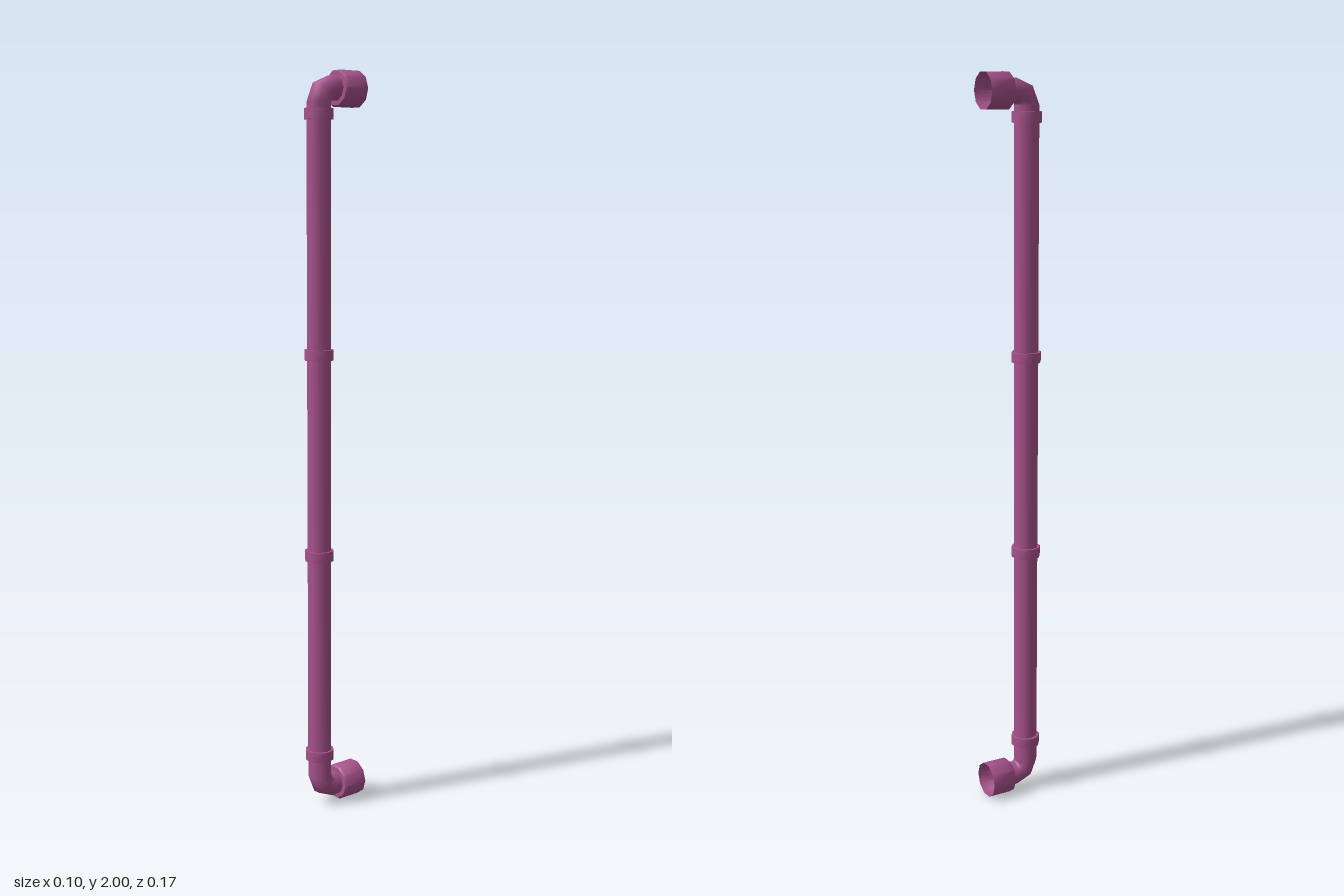
import * as THREE from 'three';
import { toCreasedNormals } from 'three/addons/utils/BufferGeometryUtils.js';

const SIDES = 10;
const PIPE_R = 0.033;
const PIPE_Z = 0.042;            // axis of the vertical pipe
const LOW = 0.047, HIGH = 1.953; // axes of the two sockets
const BEND = 0.037;

// Sweeps a round section along stations { y, z, a }, a = direction angle from +z towards +y
function sweepPipe(stations, radius) {
  const pos = [], index = [];
  for (const { y, z, a } of stations) {
    for (let j = 0; j < SIDES; j++) {
      const t = (j / SIDES) * Math.PI * 2;
      const n = radius * Math.sin(t);
      pos.push(radius * Math.cos(t), y + n * Math.cos(a), z - n * Math.sin(a));
    }
  }
  for (let i = 0; i < stations.length - 1; i++) {
    for (let j = 0; j < SIDES; j++) {
      const k = (j + 1) % SIDES;
      const a = i * SIDES + j, b = i * SIDES + k;
      index.push(a, b, a + SIDES, b, b + SIDES, a + SIDES);
    }
  }
  const g = new THREE.BufferGeometry();
  g.setAttribute('position', new THREE.Float32BufferAttribute(pos, 3));
  g.setIndex(index);
  g.computeVertexNormals();
  return g;
}

export function createModel() {
  const group = new THREE.Group();
  group.name = 'drainPipe';
  const material = new THREE.MeshStandardMaterial({ color: 0xa8528c, side: THREE.DoubleSide });
  const add = (name, geometry, y, z) => {
    const mesh = new THREE.Mesh(geometry, material);
    mesh.name = name;
    mesh.position.set(0, y, z);
    group.add(mesh);
    return mesh;
  };

  // Pipe: lower neck and elbow, long straight run, upper elbow and neck
  const bendZ = PIPE_Z - BEND;
  const stations = [{ y: LOW, z: -0.015, a: 0 }];
  for (let i = 0; i <= 2; i++) {
    const a = (i / 2) * Math.PI / 2;
    stations.push({ y: LOW + BEND - BEND * Math.cos(a), z: bendZ + BEND * Math.sin(a), a });
  }
  for (let i = 0; i <= 2; i++) {
    const b = (i / 2) * Math.PI / 2;
    stations.push({ y: HIGH - BEND + BEND * Math.sin(b), z: bendZ + BEND * Math.cos(b), a: Math.PI / 2 + b });
  }
  stations.push({ y: HIGH, z: -0.015, a: Math.PI });
  add('pipe', sweepPipe(stations, PIPE_R), 0, 0);

  // Collars around the straight run
  const collar = toCreasedNormals(
    new THREE.CylinderGeometry(0.04, 0.04, 0.028, SIDES, 1, false, Math.PI / 2), 0.9);
  for (const y of [0.146, 0.713, 1.26, 1.886]) add('collar', collar, y, PIPE_Z);

  // Open sockets facing the back, with a small bevel at the shoulder
  const profile = [[0.049, -0.085], [0.049, -0.019], [0.045, -0.014], [PIPE_R, -0.014]]
    .map(([r, z]) => new THREE.Vector2(r, z));
  const socket = toCreasedNormals(new THREE.LatheGeometry(profile, SIDES, Math.PI / 2), 0.7);
  for (const [name, y] of [['lowerSocket', LOW], ['upperSocket', HIGH]]) {
    add(name, socket, y, 0).rotation.x = Math.PI / 2;
  }
  return group;
}
